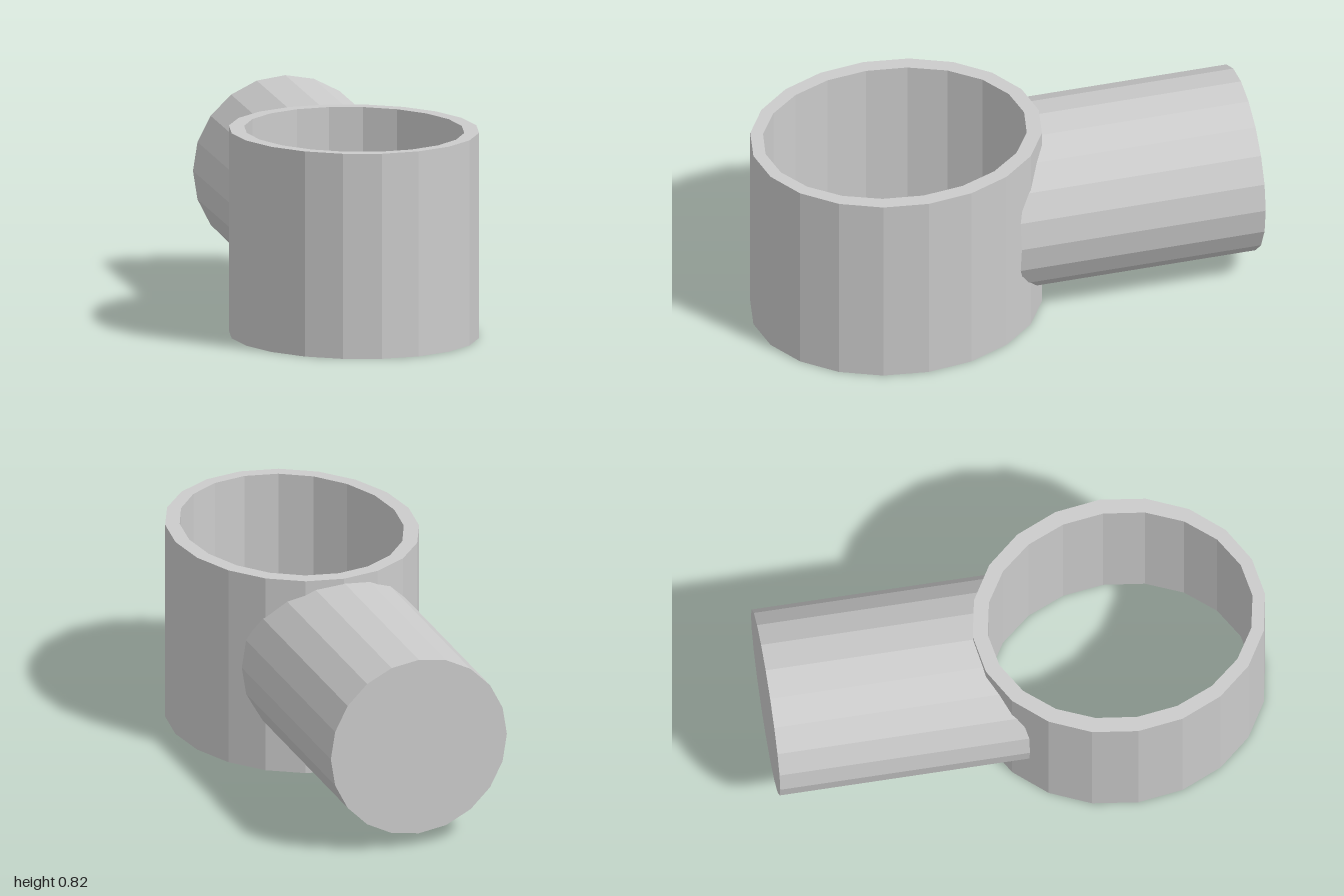
import * as THREE from 'three';

const SIDES = 20;
const RING_Z = 0.415;

// points of a 20-sided ellipse; shape y becomes -z once laid flat
function ellipse(rx, rz, cz) {
  return Array.from({ length: SIDES }, (_, i) => {
    const a = (i / SIDES) * Math.PI * 2;
    return new THREE.Vector2(rx * Math.cos(a), rz * Math.sin(a) - cz);
  });
}

export function createModel() {
  const group = new THREE.Group();
  group.name = 'ringFitting';
  const material = new THREE.MeshStandardMaterial({ color: 0xcccccc, flatShading: true });

  // open oval sleeve
  const outline = new THREE.Shape(ellipse(0.493, 0.585, RING_Z));
  outline.holes.push(new THREE.Path(ellipse(0.433, 0.53, 0.42)));
  const ringGeo = new THREE.ExtrudeGeometry(outline, { depth: 0.823, bevelEnabled: false });
  ringGeo.rotateX(-Math.PI / 2);
  const ring = new THREE.Mesh(ringGeo, material);
  ring.name = 'sleeve';
  group.add(ring);

  // round stem running to the back, its front end saddled into the sleeve wall
  const stemGeo = new THREE.CylinderGeometry(0.372, 0.372, 1, SIDES);
  stemGeo.rotateX(-Math.PI / 2);
  stemGeo.translate(-0.003, 0.429, -0.5);
  const p = stemGeo.attributes.position;
  for (let i = 0; i < p.count; i++) {
    if (p.getZ(i) < -0.5) continue;
    const wall = RING_Z - 0.57 * Math.sqrt(1 - (p.getX(i) / 0.475) ** 2);
    p.setZ(i, Math.min(0, wall));
  }
  stemGeo.computeVertexNormals();
  const stem = new THREE.Mesh(stemGeo, material);
  stem.name = 'stem';
  group.add(stem);

  return group;
}
